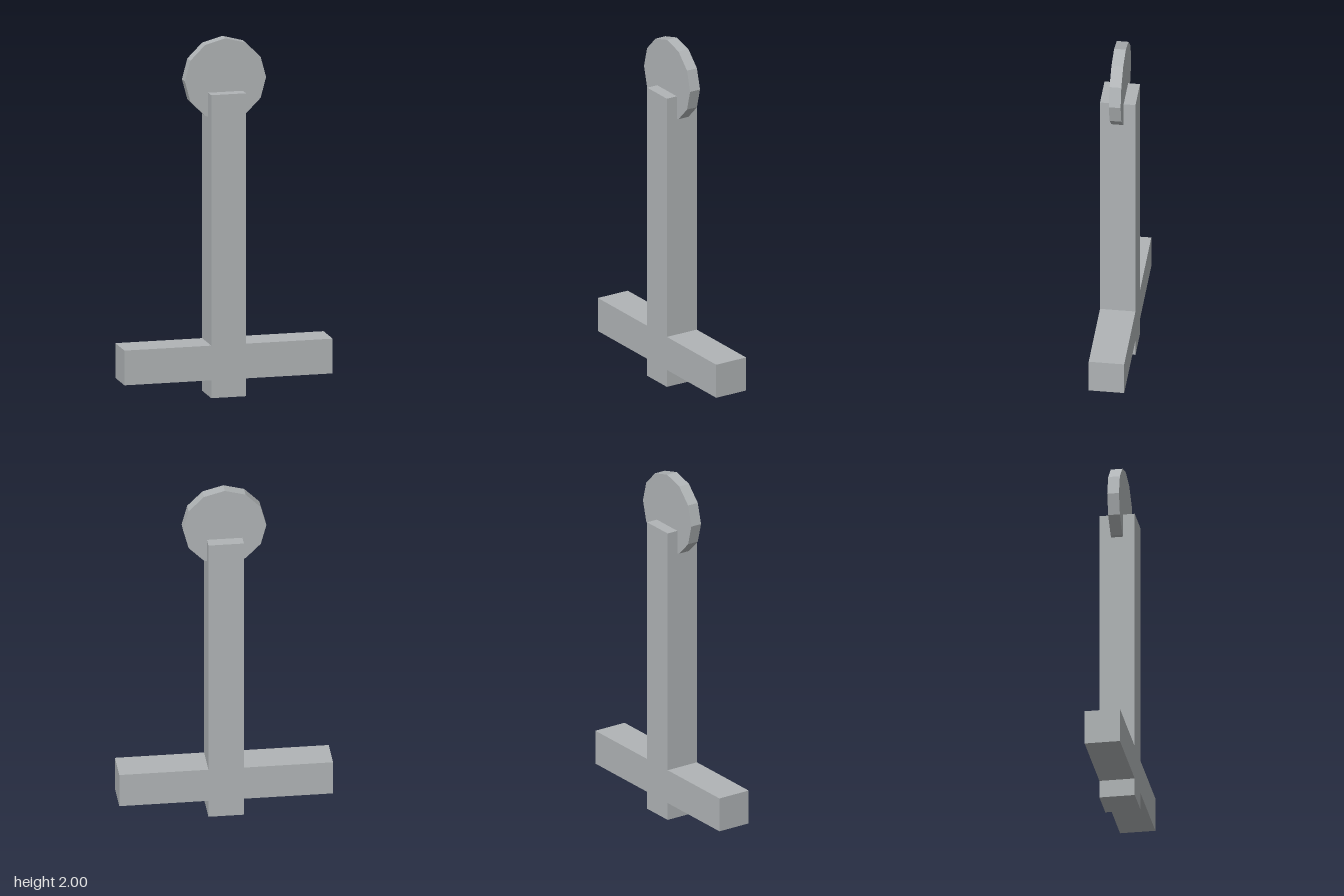
import * as THREE from 'three';

export function createModel() {
  const group = new THREE.Group();
  const grey = new THREE.MeshStandardMaterial({ color: 0xb0b4b6 });
  grey.name = 'grey';
  grey.flatShading = true;

  const half = 0.098; // half thickness of the post and crossbar

  // Post and crossbar as one cross-shaped solid with flush faces
  const right = [[half, 0], [half, 0.1], [0.59, 0.1], [0.59, 0.295], [half, 0.295], [half, 1.7]];
  const left = right.map(([x, y]) => [-x, y]).reverse();
  const outline = new THREE.Shape([...right, ...left].map(([x, y]) => new THREE.Vector2(x, y)));
  const crossGeometry = new THREE.ExtrudeGeometry(outline, { depth: 2 * half, bevelEnabled: false });
  crossGeometry.translate(0, 0, -half);
  const cross = new THREE.Mesh(crossGeometry, grey);
  cross.name = 'postAndCrossbar';

  // Twelve-sided disc set into the top of the post
  const discGeometry = new THREE.CylinderGeometry(0.23, 0.23, 0.065, 12);
  discGeometry.rotateX(Math.PI / 2);
  const disc = new THREE.Mesh(discGeometry, grey);
  disc.name = 'pommelDisc';
  disc.position.set(0, 1.77, 0);

  group.add(cross, disc);
  return group;
}
